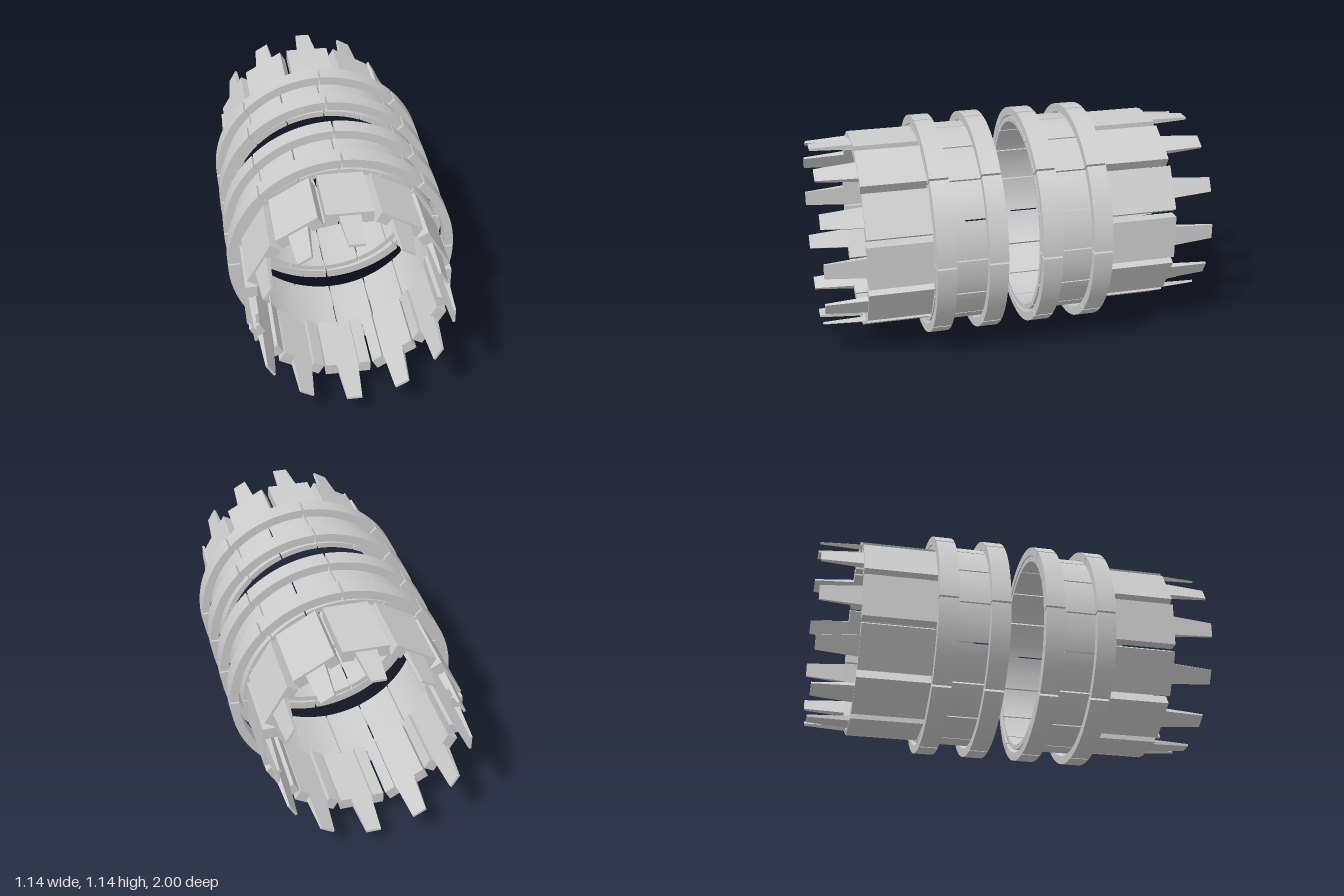
import * as THREE from 'three';

const CENTER_Y = 0.572;
const OFFSET_X = -0.013; // inner parts sit slightly off the outer rings' axis
const material = new THREE.MeshStandardMaterial({ color: 0xcccccc });

// Curved block between two radii and two depths
function arcSegment(inner, outer, start, end, z0, z1) {
  const shape = new THREE.Shape();
  shape.absarc(0, 0, outer, start, end, false);
  shape.absarc(0, 0, inner, end, start, true);
  const geo = new THREE.ExtrudeGeometry(shape, { depth: z1 - z0, bevelEnabled: false, curveSegments: 12 });
  return geo.translate(0, 0, z0);
}

// Ring split into equal segments with narrow gaps
function segmentedRing(name, count, inner, outer, z0, z1, gap) {
  const ring = new THREE.Group();
  ring.name = name;
  const step = (Math.PI * 2) / count;
  const half = gap / 2 / outer;
  const geo = arcSegment(inner, outer, half, step - half, z0, z1);
  for (let i = 0; i < count; i++) {
    const mesh = new THREE.Mesh(geo, material);
    mesh.name = name + 'Segment';
    mesh.rotation.z = i * step;
    ring.add(mesh);
  }
  return ring;
}

// Channel-shaped panel, its flat back facing outward (+y)
function panelGeometry(z0, z1) {
  const w = 0.113, leg = 0.057, top = 0.496, web = 0.458, foot = 0.438;
  const shape = new THREE.Shape([
    [-w, foot], [-w + leg, foot], [-w + leg, web], [w - leg, web],
    [w - leg, foot], [w, foot], [w, top], [-w, top],
  ].map(([x, y]) => new THREE.Vector2(x, y)));
  const geo = new THREE.ExtrudeGeometry(shape, { depth: z1 - z0, bevelEnabled: false });
  return geo.translate(0, 0, z0);
}

// Prong narrowing towards its tip
function prongGeometry(z0, z1) {
  const geo = new THREE.BoxGeometry(0.104, 0.026, z1 - z0);
  const pos = geo.attributes.position;
  for (let i = 0; i < pos.count; i++) {
    if (pos.getZ(i) > 0) {
      pos.setX(i, pos.getX(i) * 0.72);
      pos.setY(i, pos.getY(i) * 0.45 - 0.002);
    }
  }
  geo.computeVertexNormals();
  return geo.translate(0, 0.471, (z0 + z1) / 2);
}

// One half: two outer rings, the band inside them, and the panels with prongs
function buildHalf(name, near) {
  const half = new THREE.Group();
  half.name = name;
  const far = near + 0.357;
  half.add(segmentedRing('innerCollar', 8, 0.527, 0.571, near, near + 0.097, 0.01));
  half.add(segmentedRing('outerCollar', 8, 0.527, 0.571, far - 0.097, far, 0.01));

  const core = new THREE.Group();
  core.name = 'core';
  core.position.x = OFFSET_X;
  core.add(segmentedRing('band', 16, 0.49, 0.517, near + 0.002, far - 0.002, 0.007));
  const panelGeo = panelGeometry(far - 0.003, 0.79);
  const prongGeo = prongGeometry(0.789, 1);
  for (let i = 0; i < 12; i++) {
    const unit = new THREE.Group();
    unit.name = 'panelUnit';
    const panel = new THREE.Mesh(panelGeo, material);
    panel.name = 'panel';
    const prong = new THREE.Mesh(prongGeo, material);
    prong.name = 'prong';
    unit.add(panel, prong);
    unit.rotation.z = (i * Math.PI) / 6;
    core.add(unit);
  }
  half.add(core);
  return half;
}

export function createModel() {
  const model = new THREE.Group();
  model.name = 'segmentedCoupling';
  const front = buildHalf('frontHalf', 0.108);
  const back = buildHalf('backHalf', 0.07);
  // Turn the back half round, keeping its sideways offset
  back.rotation.y = Math.PI;
  back.getObjectByName('core').position.x = -OFFSET_X;
  front.position.y = back.position.y = CENTER_Y;
  model.add(front, back);
  return model;
}
